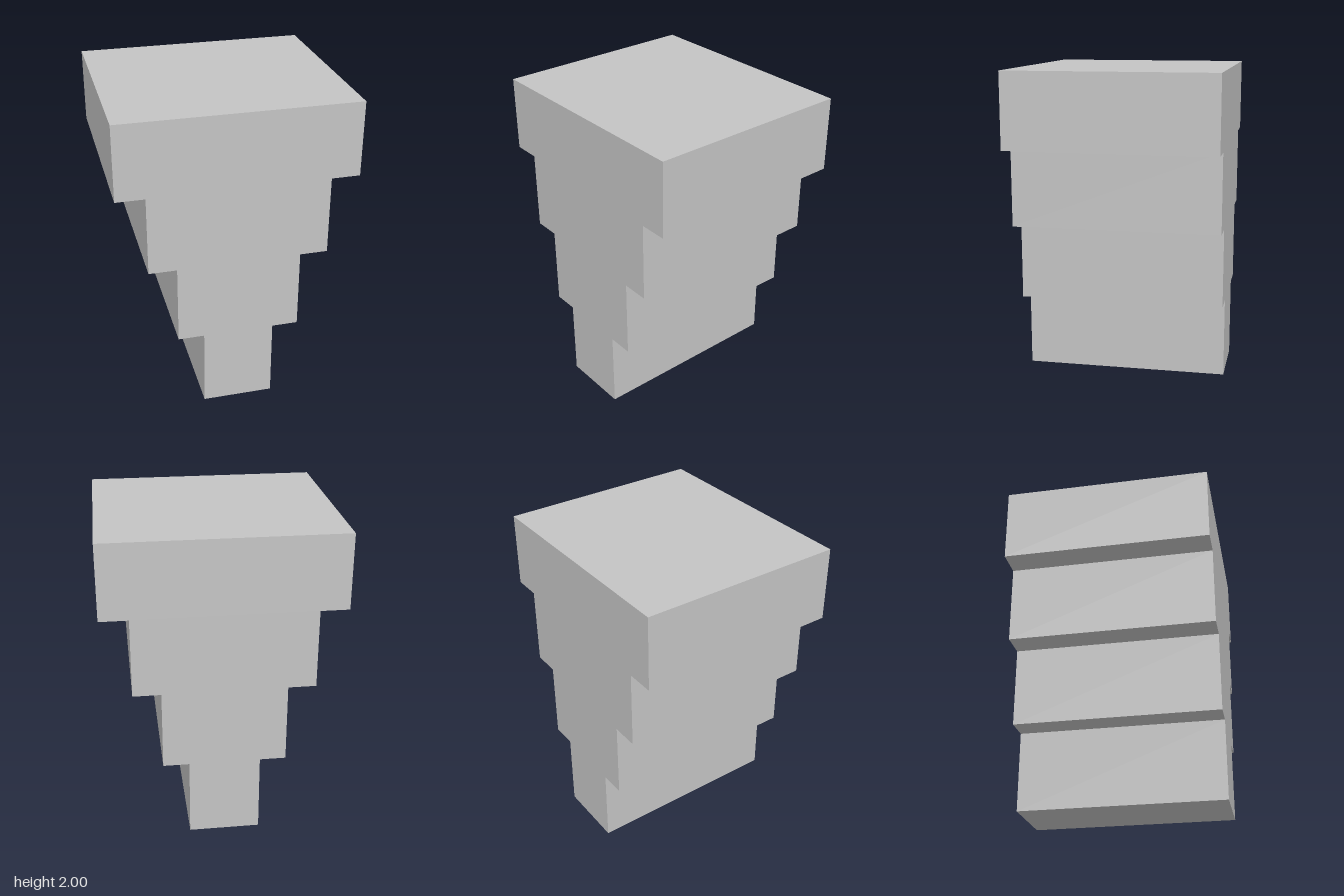
import * as THREE from 'three';

export function createModel() {
  const group = new THREE.Group();
  group.name = 'steppedBlock';
  const grey = new THREE.MeshStandardMaterial({ color: 0xc4c4c4 });
  grey.name = 'plain grey';

  // Tiers from bottom to top: half width and top height
  const tiers = [[0.225, 0.512], [0.39, 1.022], [0.565, 1.525], [0.745, 2]];
  const depth = 1.31;

  // Right side of the stepped outline, then mirrored for the left side
  const right = [];
  let y = 0;
  for (const [half, top] of tiers) {
    right.push(new THREE.Vector2(half, y), new THREE.Vector2(half, top));
    y = top;
  }
  const left = right.map((p) => new THREE.Vector2(-p.x, p.y)).reverse();

  // One solid extruded front to back
  const geometry = new THREE.ExtrudeGeometry(new THREE.Shape([...right, ...left]), {
    depth,
    bevelEnabled: false,
  });
  geometry.translate(0, 0, -depth / 2);
  const body = new THREE.Mesh(geometry, grey);
  body.name = 'steppedBody';
  group.add(body);
  return group;
}
